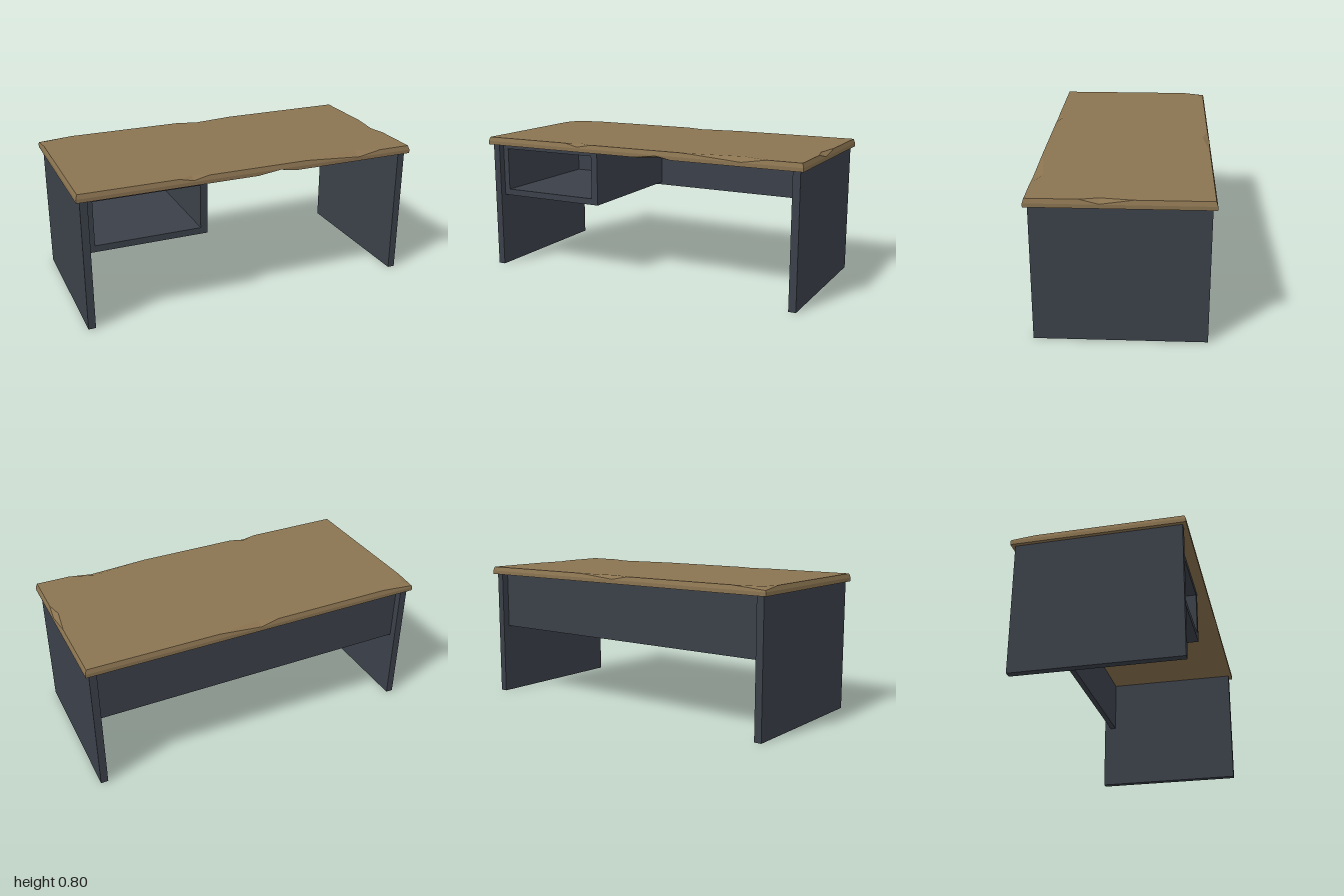
import * as THREE from 'three';

const wood = new THREE.MeshStandardMaterial({ color: 0x8a7350 });
wood.name = 'worn wood';
const metal = new THREE.MeshStandardMaterial({ color: 0x3b4049 });
metal.name = 'dark slate';

const W = 1, D = 0.478, TOP = 0.8, BOTTOM = 0.755;

// Outline of the desktop, counterclockwise from above:
// [x, z, top chip depth, top chip drop, under chip depth, under chip rise]
const OUTLINE = [
  [-W, D], [-0.44, D], [-0.36, D, 0.04, 0.017], [-0.27, D],
  [0.02, D], [0.155, D, 0, 0, 0.05, 0.017], [0.25, D], [0.32, D], [0.66, D, 0.06, 0.022], [0.8, D],
  [W, D], [W, 0.2], [W, 0.1, 0.03, 0.022], [W, -0.07],
  [W, -D], [0.25, -D], [0, -D, 0.042, 0.02], [-0.11, -D],
  [-0.8, -D], [-W, -D, 0.045, 0.015], [-W, -0.34],
];

// Move an outline point inward from whichever edges it lies on
function inward(x, z, d, y) {
  return [Math.abs(x) === W ? x - Math.sign(x) * d : x, y, Math.abs(z) === D ? z - Math.sign(z) * d : z];
}

// Chipped slab: rings run from the centre of the underside to the centre of the top
function desktopGeometry() {
  const columns = OUTLINE.map(([x, z, chip = 0, drop = 0, under = 0, rise = 0]) => [
    [0, BOTTOM, 0],
    inward(x, z, under, BOTTOM),
    inward(x, z, 0, BOTTOM + rise),
    inward(x, z, 0, 0.776),
    inward(x, z, 0.008 * (1 - drop / 0.024), TOP - drop),
    inward(x, z, Math.max(0.008, chip), TOP),
    [0, TOP, 0],
  ]);
  const positions = [];
  const same = (a, b) => a.every((v, k) => Math.abs(v - b[k]) < 1e-6);
  const tri = (a, b, c) => {
    if (!same(a, b) && !same(b, c) && !same(a, c)) positions.push(...a, ...b, ...c);
  };
  columns.forEach((p, i) => {
    const q = columns[(i + 1) % columns.length];
    for (let r = 0; r < p.length - 1; r++) {
      tri(p[r], q[r], q[r + 1]);
      tri(p[r], q[r + 1], p[r + 1]);
    }
  });
  const geo = new THREE.BufferGeometry();
  geo.setAttribute('position', new THREE.Float32BufferAttribute(positions, 3));
  geo.computeVertexNormals();
  return geo;
}

// Box given by its limits on each axis
function panel(name, [x0, x1], [y0, y1], [z0, z1]) {
  const mesh = new THREE.Mesh(new THREE.BoxGeometry(x1 - x0, y1 - y0, z1 - z0), metal);
  mesh.position.set((x0 + x1) / 2, (y0 + y1) / 2, (z0 + z1) / 2);
  mesh.name = name;
  return mesh;
}

export function createModel() {
  const desk = new THREE.Group();
  desk.name = 'desk';

  const desktop = new THREE.Mesh(desktopGeometry(), wood);
  desktop.name = 'desktop';
  desk.add(desktop);

  // Side panels that carry the top
  desk.add(panel('rightSidePanel', [-0.979, -0.937], [0, BOTTOM], [-0.457, 0.457]));
  desk.add(panel('leftSidePanel', [0.937, 0.979], [0, BOTTOM], [-0.457, 0.457]));

  // Modesty panel, set in from the back
  desk.add(panel('backPanel', [-0.937, 0.937], [0.42, BOTTOM], [-0.415, -0.38]));

  // Open cubby hung under the right end
  const cubby = new THREE.Group();
  cubby.name = 'cubby';
  const z = [-0.38, 0.418];
  cubby.add(
    panel('cubbyFloor', [-0.937, -0.262], [0.437, 0.474], z),
    panel('cubbyCeiling', [-0.937, -0.262], [0.726, BOTTOM], z),
    panel('cubbyRightWall', [-0.937, -0.903], [0.474, 0.726], z),
    panel('cubbyLeftWall', [-0.303, -0.262], [0.474, 0.726], z),
    panel('cubbyBack', [-0.903, -0.303], [0.474, 0.726], [-0.38, -0.345]),
  );
  desk.add(cubby);

  return desk;
}
